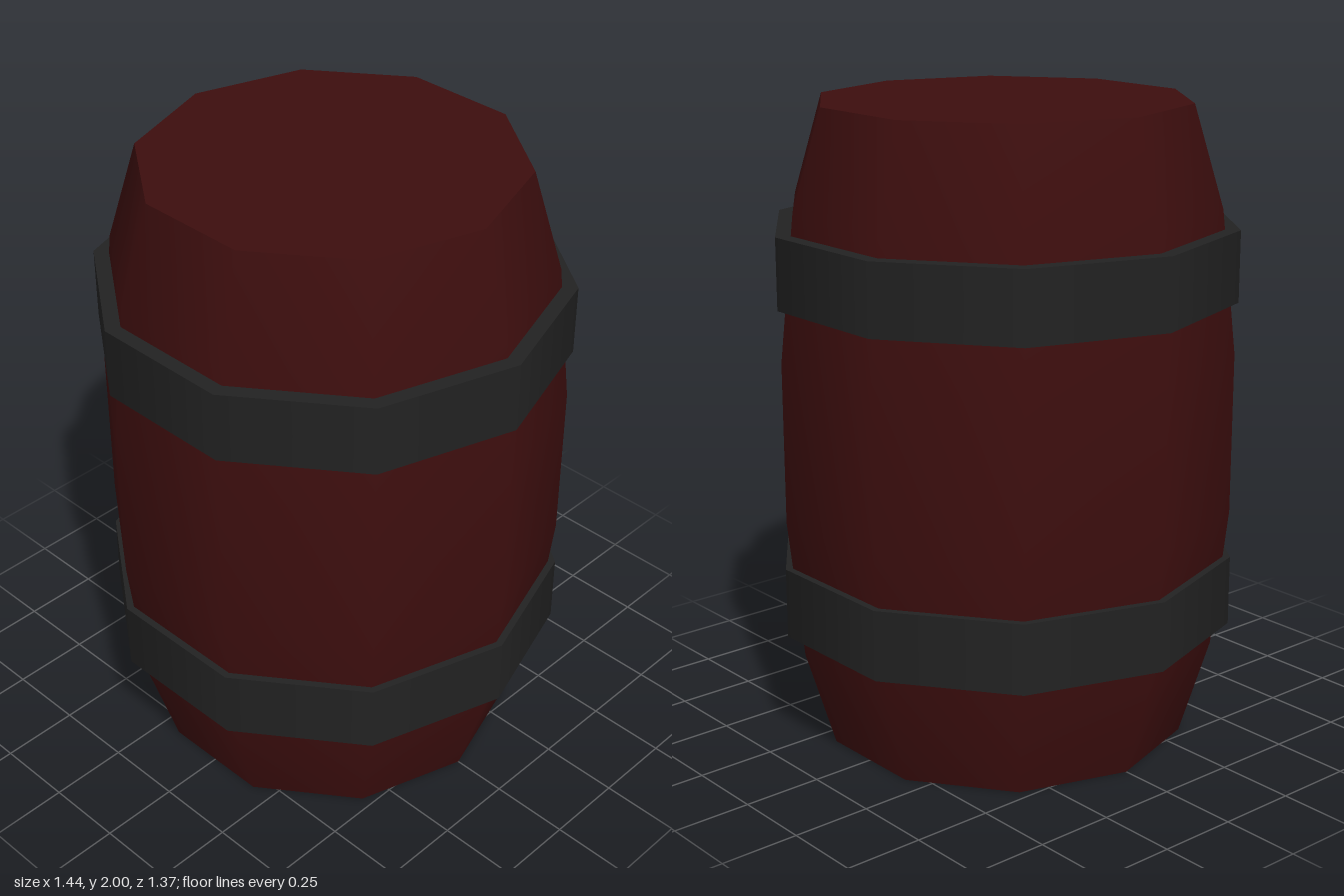
import * as THREE from 'three';
import { mergeGeometries } from 'three/addons/utils/BufferGeometryUtils.js';

const SIDES = 10;
const START = Math.PI / 2; // a corner of the decagon points along x

// Turns a flat disc or ring to face up or down at a given height
function lay(geometry, y, up) {
  return geometry.rotateX(up ? -Math.PI / 2 : Math.PI / 2).translate(0, y, 0);
}

// Bulging staves with a flat lid at each end
function bodyGeometry() {
  const profile = [
    [0.575, 0], [0.668, 0.31], [0.715, 0.75],
    [0.715, 1.25], [0.668, 1.69], [0.575, 2],
  ].map(([r, y]) => new THREE.Vector2(r, y));
  return mergeGeometries([
    new THREE.LatheGeometry(profile, SIDES, START),
    lay(new THREE.CircleGeometry(0.575, SIDES), 2, true),
    lay(new THREE.CircleGeometry(0.575, SIDES), 0, false),
  ]);
}

// Straight hoop with flat rims that run into the staves
function hoopGeometry(radius, height) {
  const rim = () => new THREE.RingGeometry(0.66, radius, SIDES, 1);
  return mergeGeometries([
    new THREE.CylinderGeometry(radius, radius, height, SIDES, 1, true, START),
    lay(rim(), height / 2, true),
    lay(rim(), -height / 2, false),
  ]);
}

export function createModel() {
  const group = new THREE.Group();
  group.name = 'barrel';

  const wood = new THREE.MeshStandardMaterial({ color: 0x3d0e0e });
  const iron = new THREE.MeshStandardMaterial({ color: 0x222222 });

  const body = new THREE.Mesh(bodyGeometry(), wood);
  body.name = 'body';
  group.add(body);

  // Lower and upper hoops
  const hoop = hoopGeometry(0.722, 0.22);
  for (const [name, y] of [['lowerHoop', 0.49], ['upperHoop', 1.52]]) {
    const mesh = new THREE.Mesh(hoop, iron);
    mesh.name = name;
    mesh.position.y = y;
    group.add(mesh);
  }

  return group;
}
